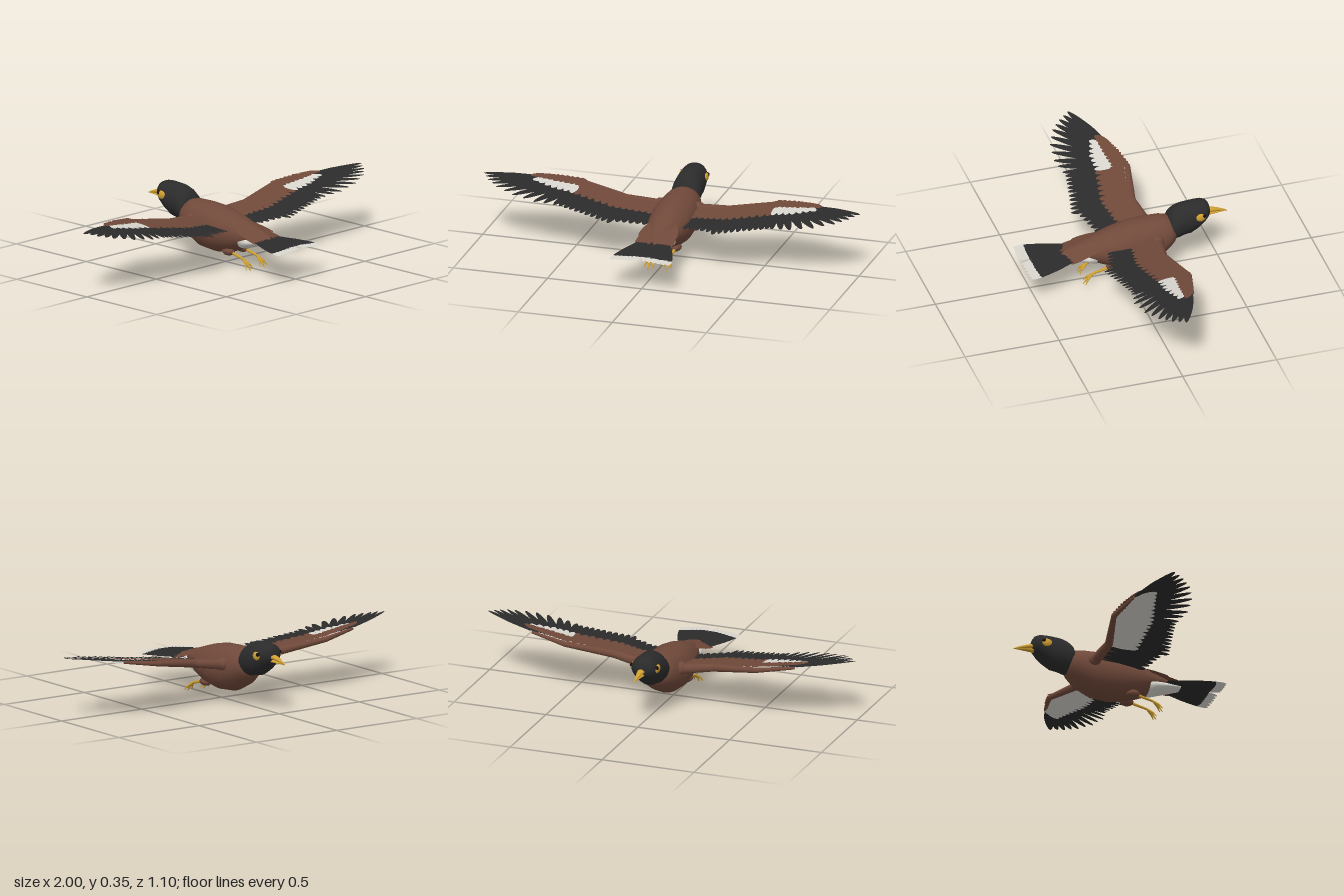
import * as THREE from 'three';
import { mergeGeometries } from 'three/addons/utils/BufferGeometryUtils.js';

const paint = (name, color, side = THREE.FrontSide) =>
  Object.assign(new THREE.MeshStandardMaterial({ color, side }), { name });
const brown = paint('brown plumage', 0x70493a, THREE.DoubleSide);
const black = paint('black plumage', 0x2b2b2b, THREE.DoubleSide);
const white = paint('white plumage', 0xd8d6ce, THREE.DoubleSide);
const yellow = paint('yellow skin', 0xd0a030);
const pupil = paint('dark eye', 0x15110f);

const lerp = THREE.MathUtils.lerp;
const V = (x, y, z) => new THREE.Vector3(x, y, z);

function add(parent, name, geometry, material) {
  const mesh = new THREE.Mesh(geometry, material);
  mesh.name = name;
  parent.add(mesh);
  return mesh;
}

// Closed skin over elliptical sections [z, top, bottom, halfWidth], ordered by rising z
function loft(sections, sides = 28) {
  const pos = [], index = [], n = sections.length;
  for (const [z, top, bottom, rx] of sections) {
    for (let a = 0; a < sides; a++) {
      const t = (a / sides) * Math.PI * 2;
      pos.push(rx * Math.cos(t), (top + bottom) / 2 + ((top - bottom) / 2) * Math.sin(t), z);
    }
  }
  for (const [z, top, bottom] of [sections[0], sections[n - 1]]) pos.push(0, (top + bottom) / 2, z);
  for (let a = 0; a < sides; a++) {
    const b = (a + 1) % sides, last = (n - 1) * sides;
    for (let k = 0; k < n - 1; k++) {
      const p = k * sides, q = p + sides;
      index.push(p + a, p + b, q + a, p + b, q + b, q + a);
    }
    index.push(n * sides, b, a, n * sides + 1, last + a, last + b);
  }
  const g = new THREE.BufferGeometry();
  g.setAttribute('position', new THREE.Float32BufferAttribute(pos, 3));
  g.setIndex(index);
  g.computeVertexNormals();
  return g;
}

// Tapered limb with rounded ends
function limb(a, b, ra, rb, sides = 12) {
  const tube = new THREE.CylinderGeometry(rb, ra, a.distanceTo(b), sides, 1, true);
  tube.applyQuaternion(new THREE.Quaternion().setFromUnitVectors(V(0, 1, 0), b.clone().sub(a).normalize()));
  const mid = a.clone().add(b).multiplyScalar(0.5);
  tube.translate(mid.x, mid.y, mid.z);
  const ends = [[a, ra], [b, rb]].map(([p, r]) => new THREE.SphereGeometry(r, sides, 8).translate(p.x, p.y, p.z));
  return mergeGeometries([tube, ...ends]);
}

// Flat vane from base to tip in plan, laid on the surface height(x, z)
function feather(s, [bx, bz], [tx, tz], w, height, power = 4, from = 0, to = 1) {
  const pos = [], index = [], rows = 10;
  const len = Math.hypot(tx - bx, tz - bz), nx = -(tz - bz) / len, nz = (tx - bx) / len;
  for (let i = 0; i <= rows; i++) {
    const u = lerp(from, to, Math.sin((i / rows) * Math.PI / 2));
    const h = w * Math.min(1, 0.55 + u) * Math.sqrt(Math.max(0, 1 - u ** power));
    for (const e of [-h, h]) {
      const x = lerp(bx, tx, u) + nx * e, z = lerp(bz, tz, u) + nz * e;
      pos.push(s * x, height(x, z), z);
    }
    const k = i * 2;
    if (i < rows) index.push(k, k + 1, k + 2, k + 1, k + 3, k + 2);
  }
  const g = new THREE.BufferGeometry();
  g.setAttribute('position', new THREE.Float32BufferAttribute(pos, 3));
  g.setIndex(index);
  g.computeVertexNormals();
  return g;
}

const wingY = (x, z) => 0.197 + 0.138 * x - 0.08 * z;

// Row of overlapping feathers; bases and tips are spread along polylines
function row(s, count, bases, tips, w, lift, power) {
  const at = (line, t) => {
    const f = t * (line.length - 1), i = Math.min(Math.floor(f), line.length - 2);
    return [0, 1].map(c => lerp(line[i][c], line[i + 1][c], f - i));
  };
  const list = [];
  for (let i = 0; i < count; i++) {
    const t = i / (count - 1), dy = lift + (i % 2) * 0.001 - t * 0.002;
    list.push(feather(s, at(bases, t), at(tips, t), w, (x, z) => wingY(x, z) + dy, power));
  }
  return mergeGeometries(list);
}

function makeWing(s) {
  const wing = new THREE.Group();
  wing.name = s > 0 ? 'leftWing' : 'rightWing';
  const P = (x, z, dy = -0.006) => V(s * x, wingY(x, z) + dy, z);

  // Arm bones under the leading edge
  add(wing, 'shoulder', new THREE.SphereGeometry(0.034, 16, 12).translate(s * 0.1, 0.22, -0.15), brown);
  add(wing, 'upperArm', limb(P(0.09, -0.15), P(0.27, -0.13), 0.028, 0.021), brown);
  add(wing, 'forearm', limb(P(0.27, -0.13), P(0.52, -0.186), 0.021, 0.014), brown);
  add(wing, 'hand', limb(P(0.52, -0.186), P(0.71, -0.145), 0.014, 0.007), brown);

  // Flight feathers
  add(wing, 'tertials', row(s, 5, [[0.1, -0.12], [0.26, -0.1]], [[0.11, 0.12], [0.24, 0.155]], 0.026, 0.002, 4), black);
  add(wing, 'secondaries', row(s, 10, [[0.25, -0.1], [0.52, -0.12]], [[0.28, 0.19], [0.42, 0.16], [0.55, 0.135]], 0.025, 0, 3), black);
  add(wing, 'primaries', row(s, 11, [[0.52, -0.12], [0.62, -0.13], [0.72, -0.13]],
    [[0.58, 0.14], [0.68, 0.157], [0.8, 0.14], [0.9, 0.095], [0.96, 0.04], [1, -0.02]], 0.025, 0, 2.4), black);

  // Upper coverts
  add(wing, 'greaterCoverts', row(s, 12, [[0.12, -0.13], [0.3, -0.12], [0.5, -0.16]],
    [[0.12, 0.0], [0.3, 0.03], [0.51, -0.01]], 0.024, 0.008), brown);
  add(wing, 'lesserCoverts', row(s, 14, [[0.11, -0.15], [0.28, -0.13], [0.51, -0.185]],
    [[0.12, -0.05], [0.3, -0.04], [0.51, -0.09]], 0.02, 0.012), brown);
  add(wing, 'wingPatch', row(s, 7, [[0.535, -0.14], [0.69, -0.12]],
    [[0.535, -0.015], [0.64, -0.02], [0.75, -0.055]], 0.02, 0.008), white);
  add(wing, 'handCoverts', row(s, 9, [[0.52, -0.19], [0.62, -0.172], [0.7, -0.14]],
    [[0.535, -0.1], [0.65, -0.09], [0.77, -0.09]], 0.02, 0.013), brown);

  // Pale lining below
  add(wing, 'wingLining', row(s, 16, [[0.27, -0.13], [0.52, -0.17], [0.7, -0.13]],
    [[0.28, 0.025], [0.54, 0.02], [0.8, -0.05]], 0.026, -0.007), white);
  add(wing, 'lesserLining', row(s, 14, [[0.28, -0.13], [0.52, -0.175], [0.7, -0.14]],
    [[0.29, -0.05], [0.53, -0.07], [0.75, -0.09]], 0.022, -0.011), white);
  return wing;
}

function makeTail() {
  const tail = new THREE.Group();
  tail.name = 'tail';
  const vanes = [], tips = [], rump = [];
  for (const s of [1, -1]) {
    for (let i = 0; i < 6; i++) {
      const t = i / 5, y = (x, z) => 0.204 - 0.05 * z - i * 0.0025 + (s > 0 ? 0.0006 : 0);
      const line = [s, [0.008 + 0.05 * t, 0.26], [0.028 + 0.124 * t, 0.548 - 0.01 * t * t], 0.027, y, 6];
      vanes.push(feather(...line, 0, 0.82));
      tips.push(feather(...line, 0.82, 1));
    }
    // Rump feathers over the tail base, in two tiers
    for (let j = 0; j < 2; j++) for (let i = 0; i < 4; i++) {
      const x = i / 3, y = (px, z) => 0.272 - 0.24 * z - px * 0.25 + j * 0.006 - i * 0.001;
      rump.push(feather(s, [0.01 + 0.045 * x, 0.15 - j * 0.03], [0.015 + 0.075 * x, 0.335 - 0.025 * x - j * 0.06], 0.024, y));
    }
  }
  add(tail, 'tailFeathers', mergeGeometries(vanes), black);
  add(tail, 'tailTips', mergeGeometries(tips), white);
  add(tail, 'rumpCoverts', mergeGeometries(rump), brown);
  return tail;
}

function makeLeg(s) {
  const leg = new THREE.Group();
  leg.name = s > 0 ? 'leftLeg' : 'rightLeg';
  const x = s * 0.05, ankle = V(x, 0.06, 0.18);
  add(leg, 'thigh', new THREE.SphereGeometry(1, 18, 12).scale(0.028, 0.022, 0.037).translate(x, 0.085, 0.07), brown);
  add(leg, 'shank', limb(V(x, 0.083, 0.09), ankle, 0.008, 0.006, 8), yellow);
  // Three front toes and one hind toe
  for (const [dx, y, z] of [[-0.024, 0.018, 0.222], [0, 0.01, 0.228], [0.024, 0.018, 0.222], [0.006, 0.03, 0.215]]) {
    const knuckle = V(x + dx * 0.6, lerp(0.06, y, 0.6) + 0.004, lerp(0.18, z, 0.65));
    add(leg, 'toe', limb(ankle, knuckle, 0.006, 0.005, 8), yellow);
    add(leg, 'claw', limb(knuckle, V(x + dx, y, z), 0.005, 0.002, 8), yellow);
  }
  return leg;
}

export function createModel() {
  const bird = new THREE.Group();
  bird.name = 'bird';

  // Torso and pale vent
  add(bird, 'body', loft([
    [-0.28, 0.25, 0.18, 0.04], [-0.255, 0.285, 0.15, 0.078], [-0.235, 0.295, 0.13, 0.09], [-0.2, 0.302, 0.1, 0.102],
    [-0.13, 0.303, 0.066, 0.114], [-0.03, 0.297, 0.057, 0.117], [0.06, 0.277, 0.071, 0.107], [0.12, 0.258, 0.093, 0.092],
    [0.165, 0.244, 0.112, 0.078], [0.22, 0.225, 0.143, 0.054], [0.27, 0.21, 0.17, 0.028], [0.295, 0.2, 0.185, 0.008]]), brown);
  add(bird, 'vent', loft([[0.16, 0.188, 0.108, 0.076], [0.2, 0.187, 0.119, 0.068], [0.26, 0.184, 0.139, 0.056],
    [0.335, 0.18, 0.163, 0.035]]), white);

  // Head with bill
  add(bird, 'head', loft([
    [-0.456, 0.312, 0.288, 0.012], [-0.45, 0.335, 0.272, 0.036], [-0.44, 0.35, 0.26, 0.052], [-0.42, 0.358, 0.238, 0.065],
    [-0.39, 0.361, 0.21, 0.071], [-0.35, 0.36, 0.184, 0.073], [-0.31, 0.356, 0.178, 0.075], [-0.275, 0.344, 0.168, 0.077],
    [-0.25, 0.322, 0.172, 0.076], [-0.232, 0.285, 0.2, 0.06]]), black);
  add(bird, 'upperBill', loft([[-0.55, 0.272, 0.268, 0.002], [-0.53, 0.283, 0.271, 0.006], [-0.5, 0.295, 0.276, 0.011],
    [-0.47, 0.304, 0.28, 0.017], [-0.43, 0.309, 0.28, 0.022]], 16), yellow);
  add(bird, 'lowerBill', loft([[-0.535, 0.272, 0.268, 0.003], [-0.5, 0.276, 0.267, 0.009], [-0.46, 0.28, 0.265, 0.015],
    [-0.43, 0.281, 0.263, 0.018]], 16), yellow);

  // Paired parts
  for (const s of [1, -1]) {
    add(bird, 'eyePatch', new THREE.SphereGeometry(1, 20, 14).scale(0.011, 0.022, 0.027).translate(s * 0.066, 0.297, -0.392), yellow);
    add(bird, 'eye', new THREE.SphereGeometry(0.0105, 14, 10).translate(s * 0.068, 0.306, -0.409), pupil);
    bird.add(makeWing(s), makeLeg(s));
  }
  bird.add(makeTail());
  return bird;
}
